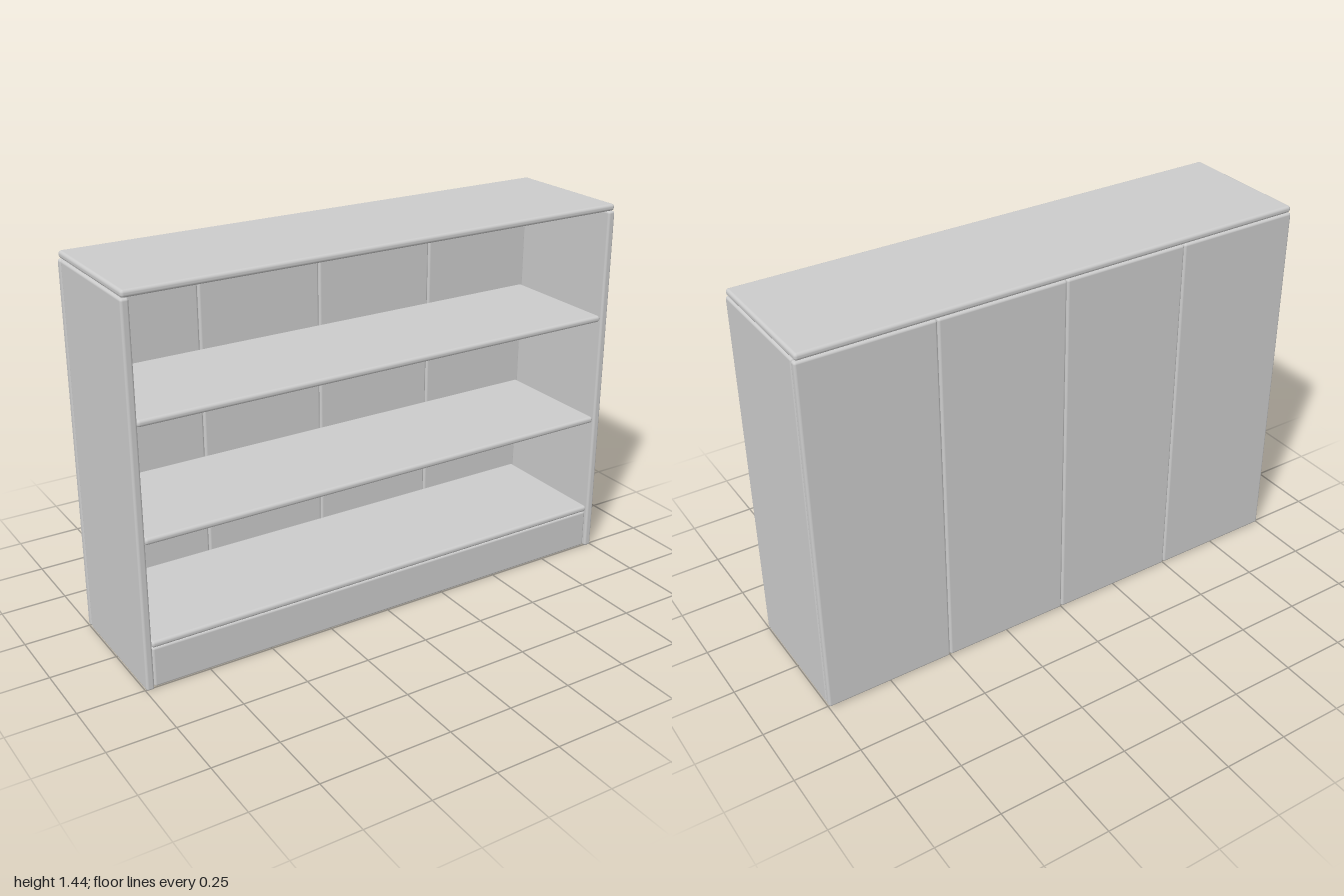
import * as THREE from 'three';
import { RoundedBoxGeometry } from 'three/addons/geometries/RoundedBoxGeometry.js';

export function createModel() {
  const group = new THREE.Group();
  const material = new THREE.MeshStandardMaterial({ color: 0xcccccc });

  // A board with softly rounded edges, given by its extents on each axis
  function board(name, [x0, x1], [y0, y1], [z0, z1], radius = 0.009) {
    const geometry = new RoundedBoxGeometry(x1 - x0, y1 - y0, z1 - z0, 3, radius);
    const mesh = new THREE.Mesh(geometry, material);
    mesh.name = name;
    mesh.position.set((x0 + x1) / 2, (y0 + y1) / 2, (z0 + z1) / 2);
    group.add(mesh);
  }

  const back = -0.262, inner = -0.235, front = 0.262;

  // Side walls
  board('leftSide', [0.968, 0.998], [0, 1.413], [inner, front]);
  board('rightSide', [-0.998, -0.968], [0, 1.413], [inner, front]);

  // Top board
  board('top', [-0.995, 0.995], [1.414, 1.44], [back, front], 0.011);

  // Shelves, bottom to top
  [0.172, 0.567, 0.99].forEach((y, i) => {
    board(`shelf${i + 1}`, [-0.967, 0.967], [y - 0.0125, y + 0.0125], [inner, 0.258], 0.011);
  });

  // Kickboard under the lowest shelf
  board('kickboard', [-0.965, 0.965], [0.003, 0.159], [0.226, 0.254]);

  // Four upright panels closing the back
  for (let i = 0; i < 4; i++) {
    const x = -1 + i * 0.5;
    board(`backPanel${i + 1}`, [x + 0.001, x + 0.499], [0.002, 1.412], [back, inner]);
  }

  return group;
}
